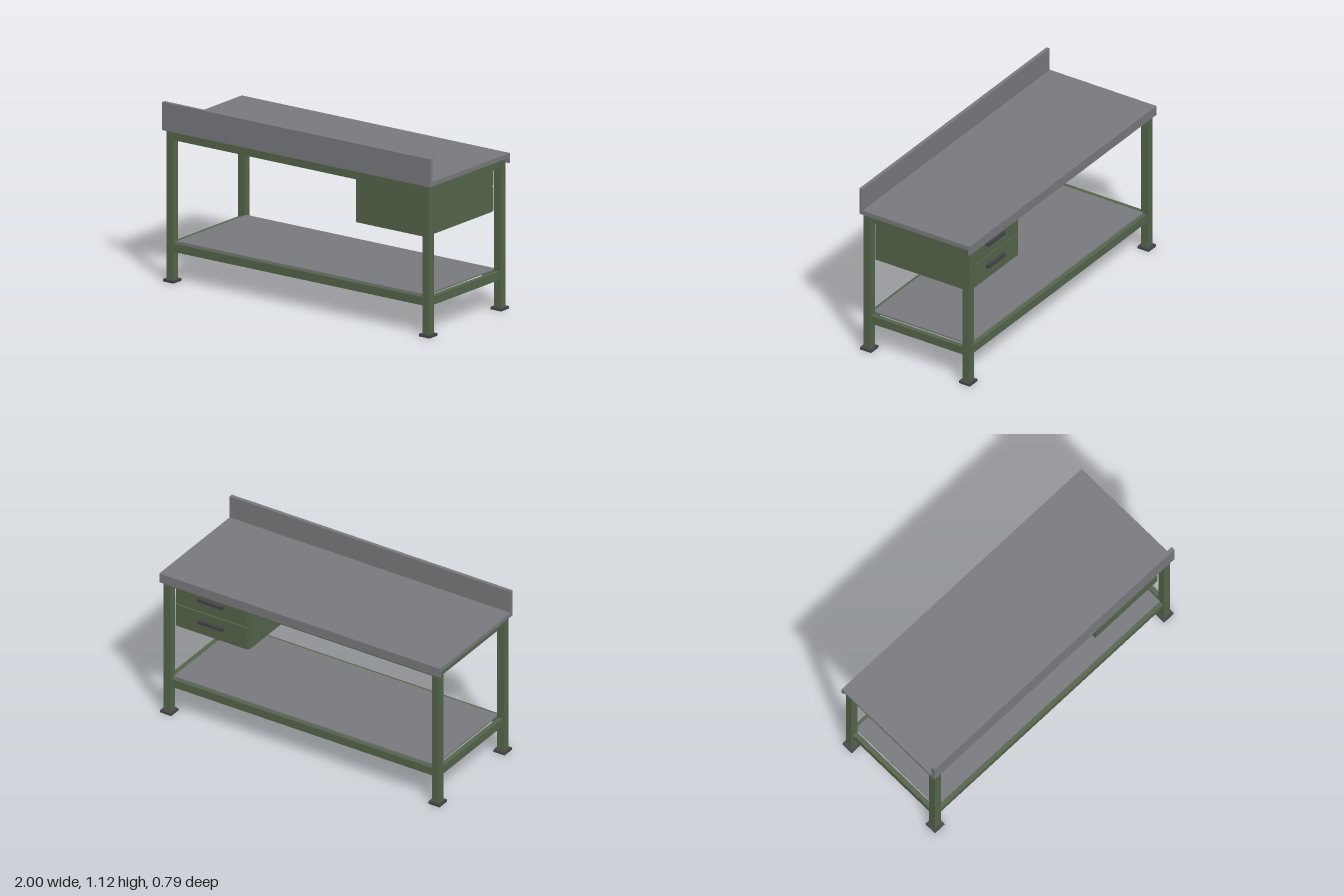
import * as THREE from 'three';

export function createModel() {
  const model = new THREE.Group();
  model.name = 'workbench';

  const green = new THREE.MeshStandardMaterial({ color: 0x54644a });
  green.name = 'green paint';
  const grey = new THREE.MeshStandardMaterial({ color: 0x78797d });
  grey.name = 'grey steel';
  const dark = new THREE.MeshStandardMaterial({ color: 0x444447 });
  dark.name = 'dark grey';

  // Box given by its [min, max] range on each axis
  function box(name, material, [x0, x1], [y0, y1], [z0, z1]) {
    const mesh = new THREE.Mesh(new THREE.BoxGeometry(x1 - x0, y1 - y0, z1 - z0), material);
    mesh.position.set((x0 + x1) / 2, (y0 + y1) / 2, (z0 + z1) / 2);
    mesh.name = name;
    model.add(mesh);
    return mesh;
  }
  const around = (centre, size) => [centre - size / 2, centre + size / 2];

  // Worktop with a backsplash on one long side and a folded lip on the other
  box('worktop', grey, [-1, 1], [0.94, 0.968], [-0.395, 0.395]);
  box('backsplash', grey, [-1, 1], [0.968, 1.115], [0.372, 0.395]);
  box('worktopLip', grey, [-1, 1], [0.907, 0.94], [-0.395, -0.384]);

  // Legs on square foot plates
  const legX = 0.955, legZ = 0.355;
  for (const sx of [-1, 1]) {
    for (const sz of [-1, 1]) {
      box('leg', green, around(sx * legX, 0.05), [0.015, 0.94], around(sz * legZ, 0.05));
      box('footPlate', dark, around(sx * legX, 0.08), [0, 0.015], around(sz * legZ, 0.08));
    }
  }

  // Upper and lower rails between the legs
  for (const [level, y] of [['upper', [0.883, 0.935]], ['lower', [0.188, 0.24]]]) {
    for (const s of [-1, 1]) {
      box(level + 'LongRail', green, [-0.93, 0.93], y, around(s * legZ, 0.03));
      box(level + 'SideRail', green, around(s * legX, 0.03), y, [-0.33, 0.33]);
    }
  }

  // Lower shelf resting on the long rails
  box('shelf', grey, [-0.93, 0.93], [0.24, 0.25], [-0.345, 0.345]);

  // Drawer cabinet, with fronts and handles on the lip side
  box('drawerCabinet', green, [0.4, 0.92], [0.604, 0.935], [-0.33, 0.335]);
  for (const [y, handleY] of [[[0.608, 0.756], 0.697], [[0.764, 0.88], 0.848]]) {
    box('drawerFront', green, [0.405, 0.915], y, [-0.345, -0.33]);
    box('drawerHandle', dark, around(0.66, 0.18), around(handleY, 0.022), [-0.367, -0.345]);
  }

  return model;
}
